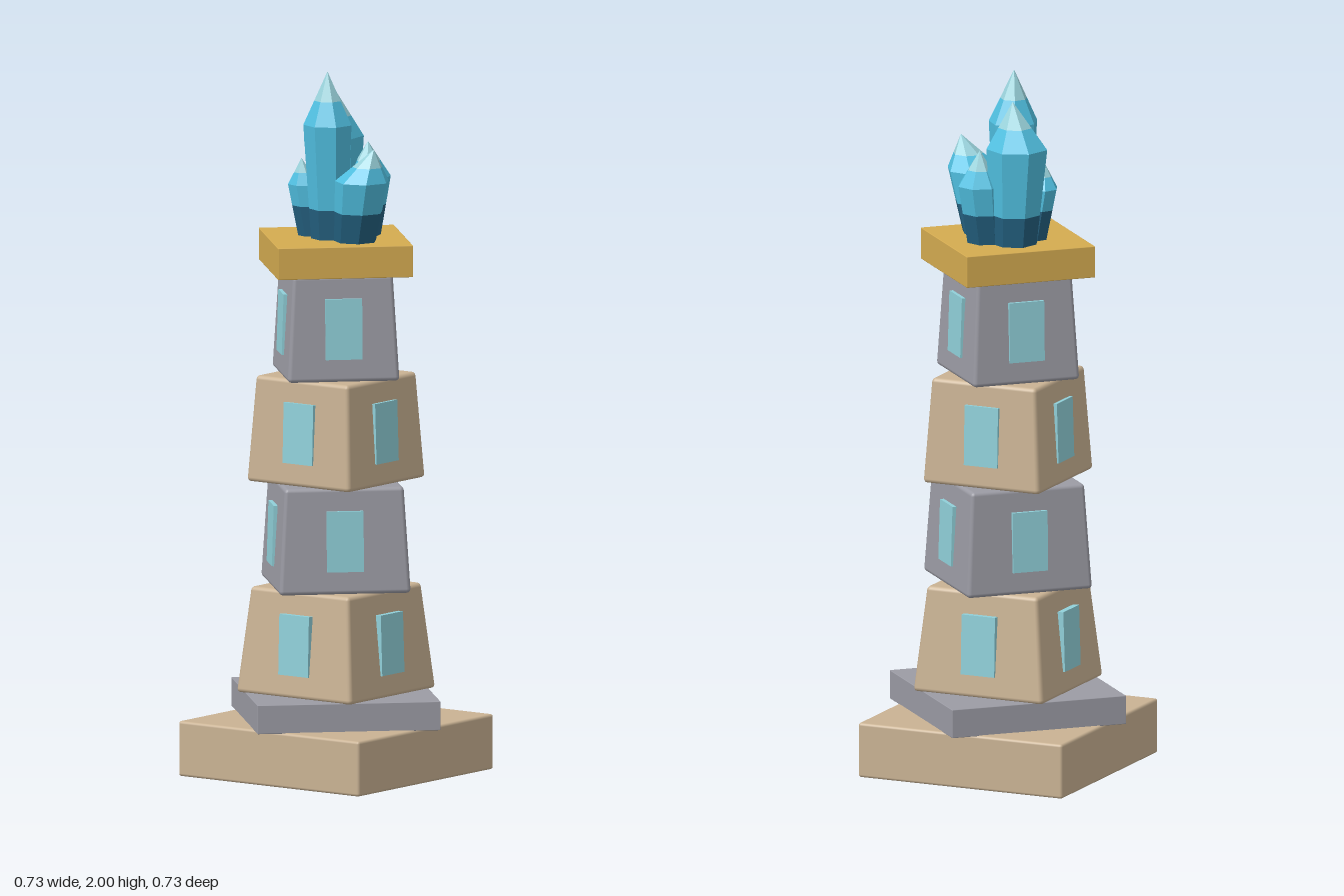
import * as THREE from 'three';
import { RoundedBoxGeometry } from 'three/addons/geometries/RoundedBoxGeometry.js';

const mat = (name, color) => {
  const m = new THREE.MeshStandardMaterial({ color });
  m.name = name;
  return m;
};

export function createModel() {
  const tan = mat('sandstone', 0xc9b293);
  const grey = mat('greyStone', 0x9b9ba4);
  const gold = mat('gold', 0xd4ab50);
  const glass = mat('windowGlass', 0x90d0d9);
  const deep = mat('crystalDeep', 0x235f7e);
  const blue = mat('crystalBlue', 0x50bfe0);
  const pale = mat('crystalPale', 0x9ad3dc);

  const model = new THREE.Group();
  model.name = 'crystalTower';

  const add = (parent, name, geometry, material) => {
    const mesh = new THREE.Mesh(geometry, material);
    mesh.name = name;
    parent.add(mesh);
    return mesh;
  };

  // Square block between two heights, tapering from half-width a to b
  const block = (a, b, y0, y1, radius) => {
    const h = y1 - y0;
    const g = new RoundedBoxGeometry(2 * a, h, 2 * a, 2, radius);
    const p = g.attributes.position, n = g.attributes.normal;
    const slope = (a - b) / h;
    const v = new THREE.Vector3();
    for (let i = 0; i < p.count; i++) {
      const t = p.getY(i) / h + 0.5;
      const s = 1 + (b / a - 1) * t;
      p.setXYZ(i, p.getX(i) * s, p.getY(i) + (y0 + y1) / 2, p.getZ(i) * s);
      // tilt side normals with the taper
      v.fromBufferAttribute(n, i);
      v.y += slope * Math.max(Math.abs(v.x), Math.abs(v.z));
      v.normalize();
      n.setXYZ(i, v.x, v.y, v.z);
    }
    return g;
  };

  // Stepped foundation and golden cap
  add(model, 'base', block(0.317, 0.317, 0, 0.157, 0.008), tan);
  add(model, 'plinth', block(0.26, 0.26, 0.155, 0.237, 0.002), grey).rotation.y = Math.PI / 4;
  add(model, 'cap', block(0.192, 0.192, 1.435, 1.525, 0.002), gold).rotation.y = Math.PI / 4;

  // Four tapered storeys, every second one turned by 45 degrees
  const storeys = [
    [0.202, 0.172, 0.235, tan, 0.199],
    [0.187, 0.169, 0.535, grey, 0.187],
    [0.181, 0.162, 0.835, tan, 0.179],
    [0.159, 0.142, 1.135, grey, 0.159],
  ];
  storeys.forEach(([a, b, y, material, reach], i) => {
    const storey = new THREE.Group();
    storey.name = 'storey' + (i + 1);
    storey.rotation.y = (i % 2) * Math.PI / 4;
    model.add(storey);
    add(storey, 'walls', block(a, b, y, y + 0.301, 0.012), material);
    // One window leaning slightly on each wall
    for (let k = 0; k < 4; k++) {
      const side = new THREE.Group();
      side.name = 'windowSide' + (k + 1);
      side.rotation.y = k * Math.PI / 2;
      storey.add(side);
      const pane = add(side, 'window', new THREE.BoxGeometry(0.104, 0.172, 0.024), glass);
      pane.position.set(0, y + 0.15, reach - 0.012);
      pane.rotation.x = -0.03;
    }
  });

  // Faceted crystal from ring cross-sections [x, y, z, radius]
  const SIDES = 7;
  const band = (lower, upper, turn) => {
    const pos = [];
    const point = ([x, y, z, r], k) => {
      const t = turn + (k / SIDES) * Math.PI * 2;
      return [x + r * Math.sin(t), y, z + r * Math.cos(t)];
    };
    for (let k = 0; k < SIDES; k++) {
      const p = point(lower, k), q = point(lower, k + 1);
      const s = point(upper, k + 1), t = point(upper, k);
      pos.push(...p, ...q, ...s);
      if (upper[3] > 0) pos.push(...p, ...s, ...t);
    }
    const g = new THREE.BufferGeometry();
    g.setAttribute('position', new THREE.Float32BufferAttribute(pos, 3));
    g.computeVertexNormals();
    return g;
  };
  const mix = (a, b, t) => a.map((v, i) => v + (b[i] - v) * t);

  // Each crystal: foot, shoulder, tip, turn
  const crystals = [
    [[-0.03, 1.515, 0.0, 0.052], [-0.04, 1.85, 0.002, 0.07], [-0.04, 2.0, 0.0, 0], 0.3],
    [[0.06, 1.515, -0.048, 0.064], [0.06, 1.8, -0.057, 0.088], [0.05, 1.93, -0.038, 0], 0.6],
    [[-0.03, 1.515, 0.09, 0.06], [-0.045, 1.7, 0.127, 0.078], [-0.05, 1.795, 0.17, 0], 0.1],
    [[0.075, 1.515, 0.035, 0.052], [0.093, 1.69, 0.045, 0.063], [0.09, 1.79, 0.045, 0], 0.8],
    [[-0.015, 1.515, -0.075, 0.036], [-0.025, 1.67, -0.095, 0.045], [-0.035, 1.745, -0.095, 0], 0.4],
  ];
  crystals.forEach(([foot, shoulder, tip, turn], i) => {
    const crystal = new THREE.Group();
    crystal.name = 'crystal' + (i + 1);
    model.add(crystal);
    const line = mix(foot, shoulder, (1.61 - foot[1]) / (shoulder[1] - foot[1]));
    const frost = mix(shoulder, tip, 0.45);
    add(crystal, 'crystalFoot', band(foot, line, turn), deep);
    add(crystal, 'crystalShaft', band(line, shoulder, turn), blue);
    add(crystal, 'crystalShoulder', band(shoulder, frost, turn), blue);
    add(crystal, 'crystalTip', band(frost, tip, turn), pale);
  });

  return model;
}
